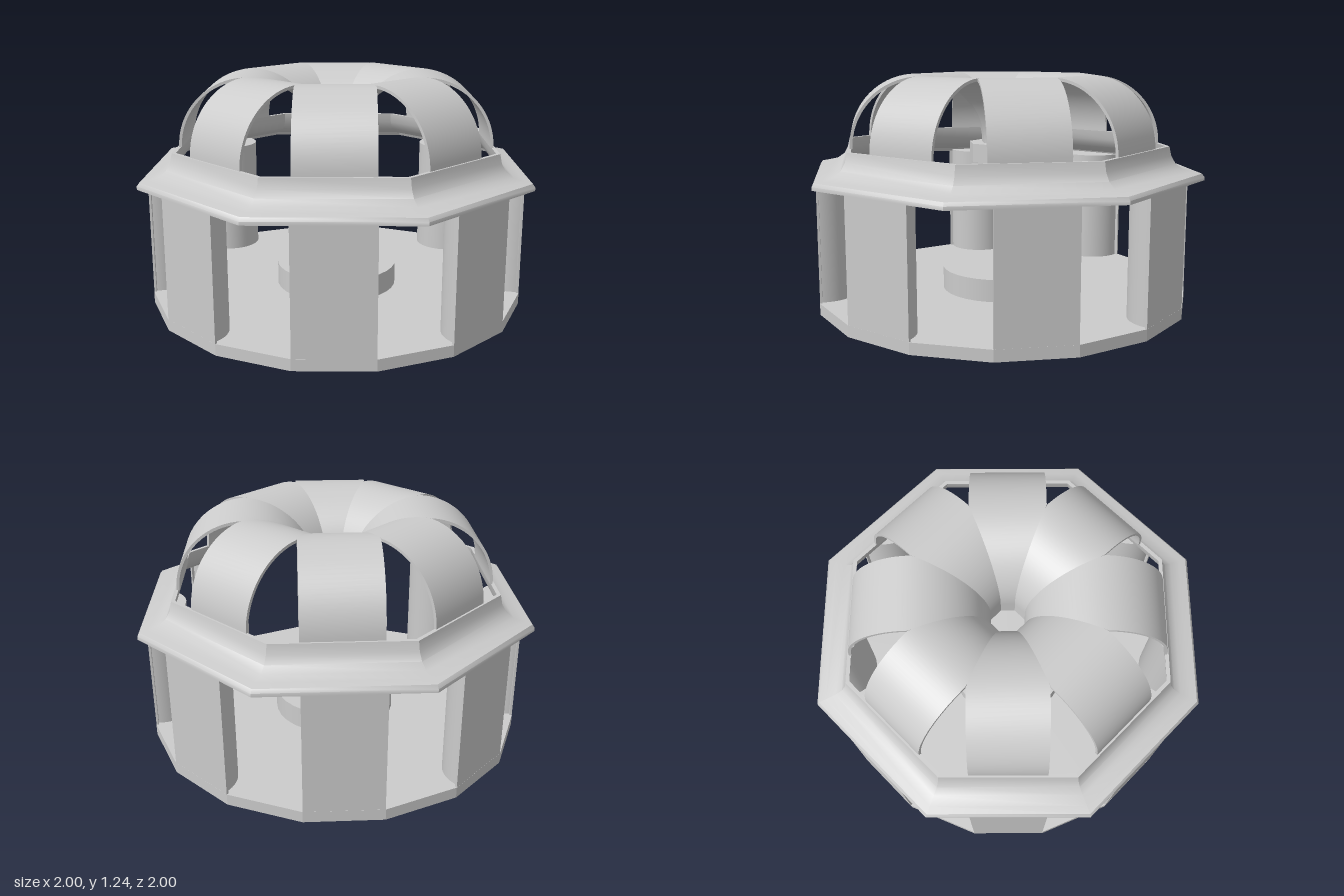
import * as THREE from 'three';
import { toCreasedNormals } from 'three/addons/utils/BufferGeometryUtils.js';

const SIDES = 8;
const HALF_WIDTH = 0.197; // half width of wall panels and roof ribs
const TAN = Math.tan(Math.PI / SIDES);
const material = new THREE.MeshStandardMaterial({ color: 0xcccccc, side: THREE.DoubleSide });

function part(name, geometry, parent, y = 0, z = 0) {
  const mesh = new THREE.Mesh(geometry, material);
  mesh.name = name;
  mesh.position.set(0, y, z);
  parent.add(mesh);
  return mesh;
}

// Closed profile (distance to side, height) swept round an octagon with mitred corners
function octagonRing(profile) {
  const points = [...profile, profile[0]].map(
    ([r, y]) => new THREE.Vector2(r / Math.cos(Math.PI / SIDES), y));
  return toCreasedNormals(new THREE.LatheGeometry(points, SIDES, Math.PI / SIDES), 0.65);
}

// Half-circle strip, narrowing where neighbouring strips meet near the centre
function ribGeometry() {
  const geo = new THREE.BoxGeometry(2, 1, 1, 1, 1, 48);
  const pos = geo.attributes.position;
  for (let i = 0; i < pos.count; i++) {
    const angle = Math.PI * (0.5 - pos.getZ(i));
    const radius = pos.getY(i) > 0 ? 0.365 : 0.35;
    const r = 0.455 + radius * Math.cos(angle);
    const half = Math.min(HALF_WIDTH, r * TAN);
    pos.setXYZ(i, pos.getX(i) * half, 0.87 + radius * Math.sin(angle), r);
  }
  geo.computeVertexNormals();
  return geo;
}

export function createModel() {
  const model = new THREE.Group();
  model.name = 'pavilion';

  // Sixteen-sided floor slab and round centre seat
  const floor = new THREE.CylinderGeometry(1.015, 1.015, 0.06, 16, 1, false, Math.PI / 16);
  part('floor', toCreasedNormals(floor, 0.2), model, 0.03);
  part('centreSeat', new THREE.CylinderGeometry(0.33, 0.33, 0.12, 32), model, 0.12);

  // Flared eave: outer face upwards, then inner face back down
  part('eave', octagonRing([
    [1.0, 0.697], [1.0, 0.715], [0.988, 0.732], [0.95, 0.74], [0.9, 0.752],
    [0.862, 0.78], [0.84, 0.82], [0.83, 0.87],
    [0.81, 0.87], [0.82, 0.815], [0.847, 0.768], [0.892, 0.737],
    [0.945, 0.724], [0.975, 0.718], [0.986, 0.697],
  ]), model);

  // Collar joining the inner ends of the ribs
  part('centreCollar', octagonRing([
    [0.17, 0.77], [0.17, 0.87], [0.09, 0.87], [0.09, 0.77],
  ]), model);

  // Eight bays: wall panel, half-round pillar behind it, roof rib above
  const panel = new THREE.BoxGeometry(HALF_WIDTH * 2, 0.64, 0.012);
  const pillar = new THREE.CylinderGeometry(0.18, 0.18, 0.65, 24, 1, false, Math.PI / 2, Math.PI);
  const rib = ribGeometry();
  for (let i = 0; i < SIDES; i++) {
    const bay = new THREE.Group();
    bay.name = 'bay' + (i + 1);
    bay.rotation.y = (i * Math.PI * 2) / SIDES;
    part('wallPanel', panel, bay, 0.38, 0.989);
    part('pillar', pillar, bay, 0.385, 0.985);
    part('roofRib', rib, bay);
    model.add(bay);
  }
  return model;
}
